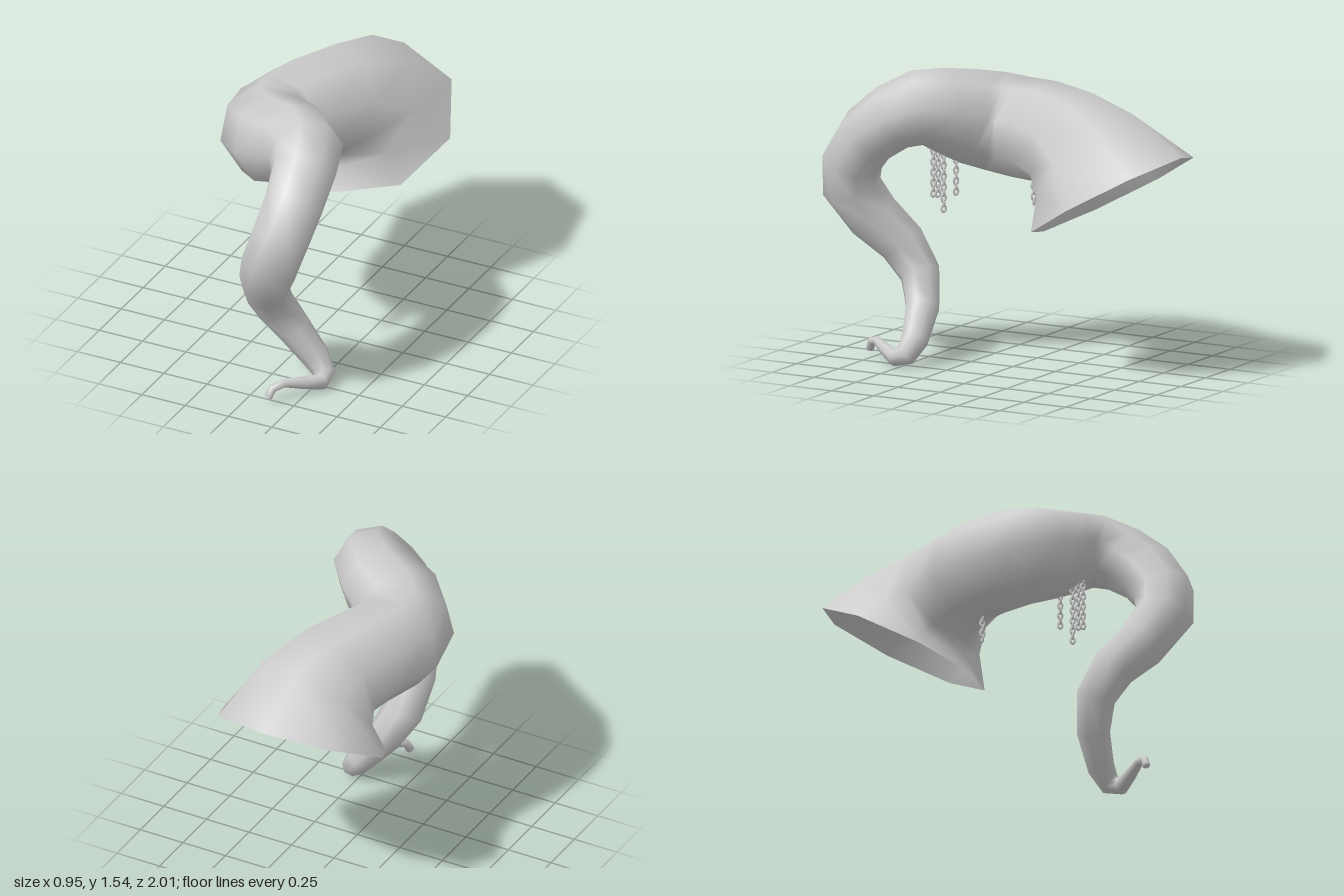
import * as THREE from 'three';

const SIDES = 8;

// Horn stations from bell rim to mouthpiece: x, y, z, radius
const STATIONS = [
  [0, 0.975, -0.59, 0.473], [-0.01, 1.135, -0.465, 0.355], [-0.05, 1.21, -0.32, 0.285],
  [-0.14, 1.235, -0.11, 0.265], [-0.19, 1.23, 0.06, 0.262], [-0.17, 1.25, 0.2, 0.258],
  [-0.07, 1.285, 0.31, 0.245], [0.09, 1.34, 0.39, 0.215], [0.18, 1.355, 0.47, 0.195],
  [0.225, 1.3, 0.59, 0.175], [0.24, 1.2, 0.72, 0.165], [0.22, 1.05, 0.83, 0.16],
  [0.175, 0.9, 0.86, 0.155], [0.105, 0.74, 0.77, 0.143], [0.035, 0.6, 0.64, 0.125],
  [0.03, 0.45, 0.535, 0.108], [0.11, 0.3, 0.475, 0.092], [0.225, 0.15, 0.455, 0.075],
  [0.285, 0.075, 0.475, 0.06], [0.295, 0.055, 0.535, 0.045], [0.24, 0.08, 0.62, 0.034],
  [0.175, 0.105, 0.71, 0.023], [0.135, 0.09, 0.765, 0.022], [0.12, 0.045, 0.783, 0.022],
];

// Smooth skin through octagonal rings, carried along the path without twist
function hornGeometry() {
  const centres = STATIONS.map(([x, y, z]) => new THREE.Vector3(x, y, z));
  const last = centres.length - 1;
  const u = new THREE.Vector3(0, 0.5, -0.87);
  const positions = [];
  const index = [];

  centres.forEach((c, i) => {
    // the rim is tilted so the bell opens down and back
    const t = i === 0
      ? new THREE.Vector3(0, 0.87, 0.5)
      : centres[Math.min(i + 1, last)].clone().sub(c).normalize()
        .add(c.clone().sub(centres[i - 1]).normalize());
    t.normalize();
    u.addScaledVector(t, -u.dot(t)).normalize();
    const v = t.clone().cross(u);
    const r = STATIONS[i][3];
    for (let j = 0; j < SIDES; j++) {
      const a = (j / SIDES) * Math.PI * 2;
      const p = c.clone().addScaledVector(u, r * Math.cos(a)).addScaledVector(v, r * Math.sin(a));
      positions.push(p.x, p.y, p.z);
      if (i < last) {
        const k = (j + 1) % SIDES;
        const a0 = i * SIDES + j, b0 = i * SIDES + k;
        index.push(a0, b0, a0 + SIDES, b0, b0 + SIDES, a0 + SIDES);
      }
    }
  });

  // close the small end
  const tip = positions.length / 3;
  positions.push(...centres[last].toArray());
  for (let j = 0; j < SIDES; j++) index.push(last * SIDES + j, last * SIDES + ((j + 1) % SIDES), tip);

  const g = new THREE.BufferGeometry();
  g.setAttribute('position', new THREE.Float32BufferAttribute(positions, 3));
  g.setIndex(index);
  g.computeVertexNormals();
  return g;
}

// Hanging chain of long links, each turned a quarter from the one above
function makeChain(x, z, top, bottom, linkGeometry, material) {
  const chain = new THREE.Group();
  chain.name = 'hangingChain';
  const count = Math.round((top - bottom) / 0.028);
  const step = (top - bottom) / count;
  for (let i = 0; i < count; i++) {
    const link = new THREE.Mesh(linkGeometry, material);
    link.name = 'chainLink';
    link.position.set(x, top - (i + 0.5) * step, z);
    link.rotation.y = Math.PI / 4 + (i % 2) * Math.PI / 2;
    chain.add(link);
  }
  return chain;
}

export function createModel() {
  const model = new THREE.Group();
  model.name = 'twistedHorn';

  const horn = new THREE.Mesh(
    hornGeometry(),
    new THREE.MeshStandardMaterial({ color: 0xcccccc, side: THREE.DoubleSide }),
  );
  horn.name = 'hornBody';
  model.add(horn);

  // Chains: x, z, top, bottom
  const metal = new THREE.MeshStandardMaterial({ color: 0xcccccc });
  const link = new THREE.TorusGeometry(0.012, 0.006, 5, 8).scale(1, 1.4, 1);
  const chains = [
    [0.045, 0.45, 1.15, 0.87], [0.04, 0.425, 1.14, 0.87], [0.025, 0.4, 1.13, 0.79],
    [0.01, 0.335, 1.11, 0.885], [-0.115, -0.055, 1.05, 0.85],
  ];
  for (const [x, z, top, bottom] of chains) model.add(makeChain(x, z, top, bottom, link, metal));

  return model;
}
